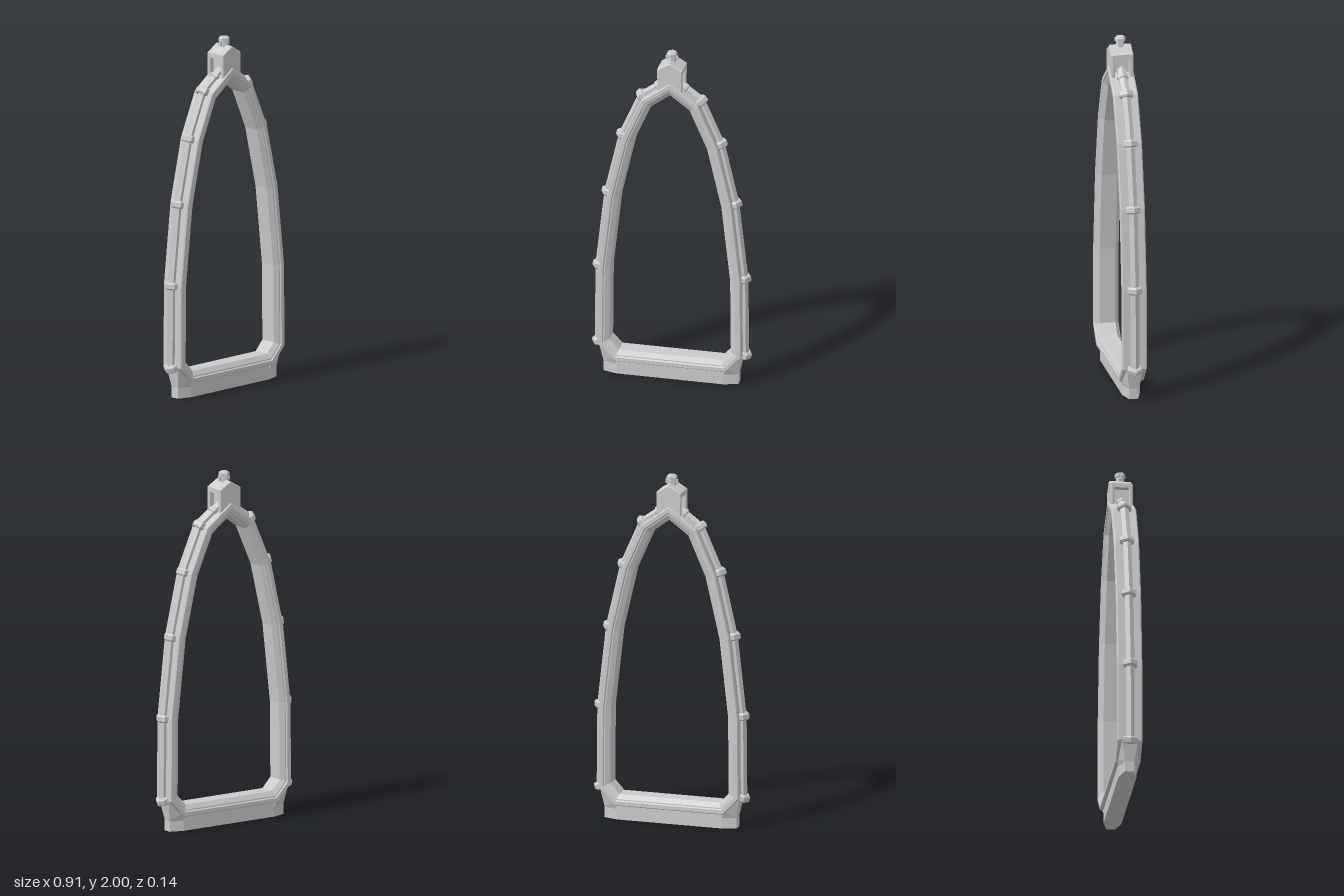
import * as THREE from 'three';
import { ConvexGeometry } from 'three/addons/geometries/ConvexGeometry.js';

const material = new THREE.MeshStandardMaterial({ color: 0xcccccc, flatShading: true, side: THREE.DoubleSide });

// Outer outline of the arch, counter-clockwise from the bottom right corner
const rightSide = [[0.32, 0.083], [0.41, 0.18], [0.406, 0.645], [0.355, 1.1], [0.272, 1.46], [0.162, 1.71]];
const outline = [
  ...rightSide, [0, 1.83],
  ...rightSide.map(([x, y]) => [-x, y]).reverse(),
].map(([x, y]) => new THREE.Vector2(x, y));
const count = outline.length;

// Inward mitre at each corner
const inwardNormal = (a, b) => {
  const t = b.clone().sub(a).normalize();
  return new THREE.Vector2(-t.y, t.x);
};
const mitres = outline.map((p, i) => {
  const n1 = inwardNormal(outline[(i + count - 1) % count], p);
  const n2 = inwardNormal(p, outline[(i + 1) % count]);
  return n1.clone().add(n2).divideScalar(1 + n1.dot(n2));
});

// Sweeps a closed section of [inset, z] points along the outline segments first..last
function sweep(section, first, last) {
  const positions = [], index = [], m = section.length;
  outline.forEach((p, i) => section.forEach(([d, z]) =>
    positions.push(p.x + mitres[i].x * d, p.y + mitres[i].y * d, z)));
  for (let i = first; i <= last; i++) {
    for (let j = 0; j < m; j++) {
      const i2 = (i + 1) % count, j2 = (j + 1) % m;
      const a = i * m + j, b = i2 * m + j, c = i2 * m + j2, d = i * m + j2;
      index.push(a, b, c, a, c, d);
    }
  }
  const geometry = new THREE.BufferGeometry();
  geometry.setAttribute('position', new THREE.Float32BufferAttribute(positions, 3));
  geometry.setIndex(index);
  geometry.computeVertexNormals();
  return geometry;
}

// Six-sided turned piece with chamfered ends, a corner pointing along x
function hexPiece(radius, halfHeight) {
  const r = radius, h = halfHeight;
  const profile = [[0, -h], [r * 0.82, -h], [r, -h * 0.6], [r, h * 0.6], [r * 0.82, h], [0, h]];
  return new THREE.LatheGeometry(profile.map((p) => new THREE.Vector2(...p)), 6).rotateY(Math.PI / 6);
}

function polygon(points) {
  return new THREE.Shape(points.map(([x, y]) => new THREE.Vector2(x, y)));
}

export function createModel() {
  const model = new THREE.Group();
  const add = (name, geometry, x = 0, y = 0, z = 0, parent = model) => {
    const mesh = new THREE.Mesh(geometry, material);
    mesh.name = name;
    mesh.position.set(x, y, z);
    parent.add(mesh);
    return mesh;
  };

  // Arch frame: flat rim, small step, sloped inner edge
  const front = [[0, 0.064], [0.005, 0.07], [0.026, 0.07], [0.032, 0.063], [0.038, 0.063], [0.064, 0.045]];
  const back = front.map(([d, z]) => [d, -z]).reverse();
  add('archFrame', sweep([...front, ...back], 0, count - 1));

  // Hexagonal rod along the outside of the arch
  const rodSection = Array.from({ length: 6 }, (_, k) => {
    const a = k * Math.PI / 3;
    return [-0.003 - 0.027 * Math.cos(a), 0.027 * Math.sin(a)];
  });
  add('outerRod', sweep(rodSection, 1, count - 3));

  // Collars at the rod's bends
  const collars = new THREE.Group();
  collars.name = 'rodCollars';
  model.add(collars);
  for (let i = 1; i < count - 1; i++) {
    if (outline[i].x === 0) continue;
    const collar = add('collar', hexPiece(0.046, 0.021), outline[i].x, outline[i].y, 0, collars);
    collar.rotation.z = Math.atan2(mitres[i].y, mitres[i].x) - Math.PI;
  }
  // Small collars beside the housing
  for (const s of [1, -1]) {
    const collar = add('topCollar', hexPiece(0.036, 0.014), s * 0.072, 1.779, 0, collars);
    collar.rotation.z = s * 0.94;
  }

  // Base bar with tapered ends
  const plan = [[0.305, 0.05], [0.385, 0.025], [0.385, -0.025], [0.305, -0.05],
    [-0.305, -0.05], [-0.385, -0.025], [-0.385, 0.025], [-0.305, 0.05]];
  add('baseBar', new THREE.ExtrudeGeometry(polygon(plan), { depth: 0.09, bevelEnabled: false }).rotateX(-Math.PI / 2));

  // Flared brackets joining the base to the arch corners
  for (const s of [1, -1]) {
    const points = [];
    for (const z of [1, -1]) {
      points.push([0.305, 0.06, 0.05 * z], [0.385, 0.06, 0.025 * z], [0.325, 0.1, 0.06 * z], [0.408, 0.18, 0.045 * z]);
    }
    add('baseBracket', new ConvexGeometry(points.map(([x, y, z]) => new THREE.Vector3(s * x, y, z))));
  }

  // Housing on the apex: two gabled panels, a roof block and a recessed core
  const housing = new THREE.Group();
  housing.name = 'topHousing';
  model.add(housing);
  const panel = polygon([[0.066, 1.786], [0.066, 1.908], [0, 1.948], [-0.066, 1.908], [-0.066, 1.786], [0, 1.81]]);
  const panelGeometry = new THREE.ExtrudeGeometry(panel,
    { depth: 0.012, bevelThickness: 0.005, bevelSize: 0.005, bevelSegments: 1 }).translate(0, 0, -0.006);
  add('frontPanel', panelGeometry, 0, 0, 0.052, housing);
  add('backPanel', panelGeometry, 0, 0, -0.052, housing);
  const roof = polygon([[0.071, 1.885], [0.071, 1.911], [0, 1.954], [-0.071, 1.911], [-0.071, 1.885]]);
  add('roof', new THREE.ExtrudeGeometry(roof, { depth: 0.1, bevelEnabled: false }), 0, 0, -0.05, housing);
  add('core', new THREE.BoxGeometry(0.08, 0.11, 0.09), 0, 1.835, 0, housing);

  // Finial
  const hexDisc = (top, bottom, height) => new THREE.CylinderGeometry(top, bottom, height, 6);
  add('finialNeck', hexDisc(0.022, 0.026, 0.04), 0, 1.955, 0, housing);
  add('finialCap', hexDisc(0.032, 0.032, 0.016), 0, 1.982, 0, housing);
  add('finialTop', hexDisc(0.024, 0.032, 0.01), 0, 1.995, 0, housing);
  for (const s of [1, -1]) add('finialTab', new THREE.BoxGeometry(0.01, 0.025, 0.015), s * 0.03, 1.962, 0, housing);

  return model;
}
